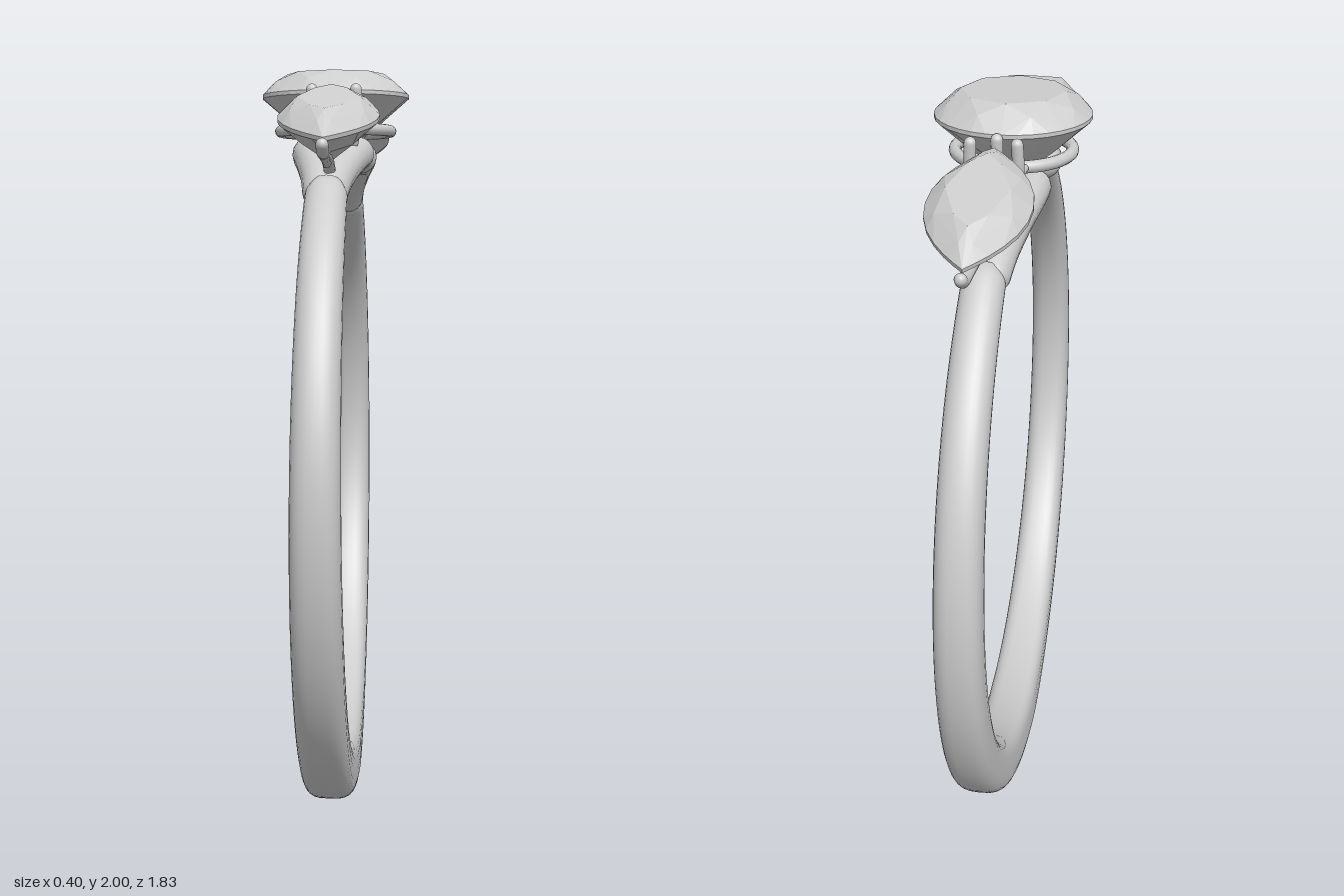
import * as THREE from 'three';
import { ConvexGeometry } from 'three/addons/geometries/ConvexGeometry.js';

const V = (x, y, z) => new THREE.Vector3(x, y, z);

const metal = new THREE.MeshStandardMaterial({ color: 0xcccccc });
metal.name = 'silver grey';

// Height of a domed end, where edge runs from 0 at the tip to 1 at full size
const dome = edge => Math.sqrt(Math.max(1e-4, 1 - (1 - THREE.MathUtils.clamp(edge, 0, 1)) ** 2));

// Sweep of superelliptic sections; at(t) gives centre, axes u and v, half sizes a and b, exponent e
function sweep(steps, sides, at) {
  const pos = [], idx = [];
  for (let i = 0; i <= steps; i++) {
    const s = at(i / steps);
    for (let j = 0; j < sides; j++) {
      const q = (j / sides) * Math.PI * 2, c = Math.cos(q), d = Math.sin(q);
      const p = s.c.clone()
        .addScaledVector(s.u, s.a * Math.sign(c) * Math.abs(c) ** s.e)
        .addScaledVector(s.v, s.b * Math.sign(d) * Math.abs(d) ** s.e);
      pos.push(p.x, p.y, p.z);
      if (i < steps) {
        const k = (j + 1) % sides, A = i * sides + j, B = i * sides + k;
        idx.push(A, B, A + sides, B, B + sides, A + sides);
      }
    }
  }
  const g = new THREE.BufferGeometry();
  g.setAttribute('position', new THREE.Float32BufferAttribute(pos, 3));
  g.setIndex(idx);
  g.computeVertexNormals();
  return g;
}

function add(parent, geometry, name) {
  const m = new THREE.Mesh(geometry, metal);
  m.name = name;
  parent.add(m);
  return m;
}

// Round rod through points, with domed ends
function rod(parent, name, pts, r) {
  const curve = new THREE.CatmullRomCurve3(pts);
  const len = curve.getLength();
  const across = Math.abs(pts[pts.length - 1].x - pts[0].x) > len / 2;
  const ref = across ? V(0, 1, 0) : V(1, 0, 0);
  add(parent, sweep(40, 16, t => {
    // closer spacing towards the ends keeps the domes round
    const k = (1 - Math.cos(Math.PI * t)) / 2;
    const size = r * dome(Math.min(k, 1 - k) * len / r);
    const tan = curve.getTangentAt(k);
    const v = tan.clone().cross(ref).normalize();
    const u = v.clone().cross(tan).normalize();
    return { c: curve.getPointAt(k), u, v, a: size, b: size, e: 1 };
  }), name);
}

// Faceted stone from an outline(angle) -> [x, z]
function gem(outline, crown, table, depth, n) {
  const pts = [];
  const ring = (count, offset, scale, y) => {
    for (let i = 0; i < count; i++) {
      const [x, z] = outline(((i + offset) / count) * Math.PI * 2);
      pts.push(V(x * scale, y, z * scale));
    }
  };
  ring(8, 0, table, crown);
  ring(8, 0.5, (1 + table) / 2 + 0.02, crown * 0.62);
  ring(n, 0, 1, 0.005);
  ring(n, 0, 1, -0.005);
  ring(8, 0.5, 0.56, -depth * 0.5);
  pts.push(V(0, -depth, 0));
  return new ConvexGeometry(pts);
}

const circle = q => [0.2 * Math.cos(q), 0.2 * Math.sin(q)];

// Oval with pointed ends, made of two arcs
const marquise = q => {
  const s = Math.sin(q);
  return [0.125 * Math.sign(Math.cos(q)) * (1 - Math.abs(s) ** 2.1), 0.235 * s];
};

export function createModel() {
  const model = new THREE.Group();
  model.name = 'threeStoneRing';

  // Band: open at the top, thicker and squarer at the bottom
  const cy = 0.955, inner = 0.796, span = 2.64;
  add(model, sweep(140, 28, t => {
    const a = (t * 2 - 1) * span, k = Math.abs(a) / span;
    const out = V(0, -Math.cos(a), Math.sin(a));
    const thick = 0.159 - 0.06 * Math.min(1, k * 1.1);
    const cap = dome((1 - k) / 0.03);
    const c = out.clone().multiplyScalar(inner + thick / 2).add(V(0.004, cy, 0));
    return {
      c, u: V(-1, 0, 0), v: out,
      a: (0.07 - 0.018 * k) * cap, b: thick / 2 * cap, e: 0.55 + 0.4 * k
    };
  }), 'band');

  // Centre stone and its seat
  const centre = add(model, gem(circle, 0.062, 0.66, 0.17, 32), 'centreStone');
  centre.position.set(0, 1.938, -0.01);
  const seat = add(model, new THREE.TorusGeometry(0.15, 0.016, 12, 56), 'centreSeat');
  seat.rotation.x = Math.PI / 2;
  seat.position.set(0, 1.846, -0.005);

  for (const dir of [1, -1]) {
    const half = new THREE.Group();
    half.name = dir > 0 ? 'frontShoulder' : 'backShoulder';
    half.rotation.y = dir > 0 ? 0 : Math.PI;
    model.add(half);

    // Forked band ends
    for (const s of [-1, 1]) {
      rod(half, 'forkArm', [
        V(s * 0.008, 1.655, 0.47), V(s * 0.02, 1.705, 0.37), V(s * 0.042, 1.75, 0.25),
        V(s * 0.06, 1.775, 0.15), V(s * 0.067, 1.786, 0.06)
      ], 0.045);
    }

    const head = new THREE.Group();
    head.name = 'sideSetting';
    head.position.set(0.01 * dir, 0, -0.01 * dir);
    half.add(head);

    // Side stone, sloping down and outward
    const stone = add(head, gem(marquise, 0.052, 0.6, 0.112, 28), 'sideStone');
    stone.position.set(0, 1.855, 0.466);
    stone.rotation.x = 0.28;

    // Inner claws and struts to the seat
    for (const s of [-1, 1]) {
      rod(head, 'innerClaw', [V(s * 0.045, 1.79, 0.235), V(s * 0.058, 1.87, 0.25), V(s * 0.056, 1.953, 0.258)], 0.015);
      rod(head, 'seatStrut', [V(s * 0.05, 1.81, 0.24), V(s * 0.055, 1.845, 0.2), V(s * 0.06, 1.848, 0.145)], 0.011);
    }
    rod(head, 'centreClaw', [V(0, 1.835, 0.165), V(0, 1.88, 0.2), V(0, 1.948, 0.208)], 0.015);
    rod(head, 'clawBridge', [V(-0.05, 1.815, 0.24), V(0, 1.825, 0.225), V(0.05, 1.815, 0.24)], 0.012);

    // Claw under the outer tip
    rod(head, 'tipClaw', [
      V(0, 1.715, 0.4), V(0, 1.743, 0.47), V(0, 1.757, 0.6), V(0, 1.765, 0.69), V(0, 1.787, 0.722)
    ], 0.015);
  }

  return model;
}
